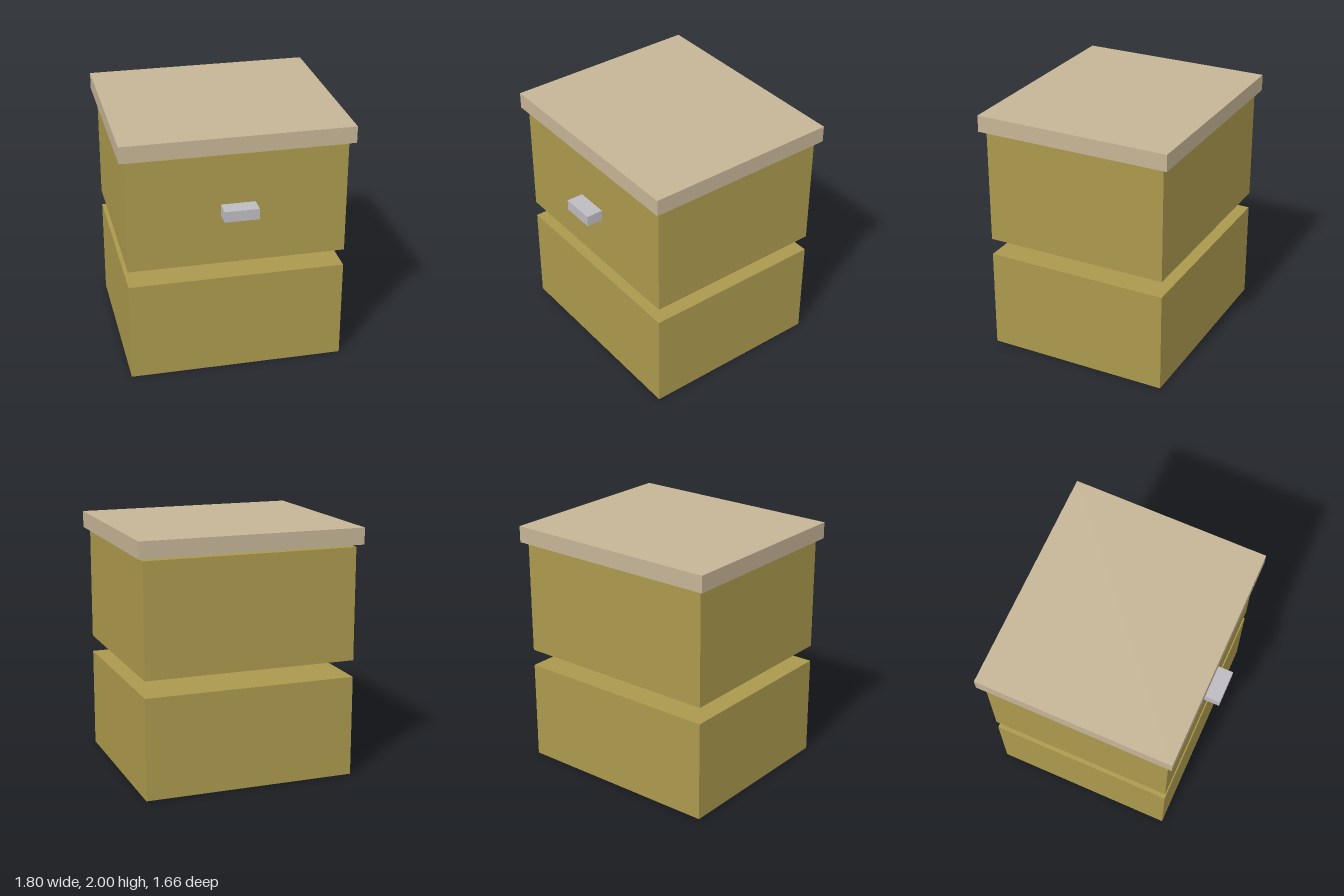
import * as THREE from 'three';

// Box given by its extents along each axis
function block(name, color, [x0, x1], [y0, y1], [z0, z1]) {
  const mesh = new THREE.Mesh(
    new THREE.BoxGeometry(x1 - x0, y1 - y0, z1 - z0),
    new THREE.MeshStandardMaterial({ color })
  );
  mesh.position.set((x0 + x1) / 2, (y0 + y1) / 2, (z0 + z1) / 2);
  mesh.name = name;
  return mesh;
}

export function createModel() {
  const group = new THREE.Group();
  group.name = 'stackedBoxes';
  const bodyX = [-0.855, 0.855], bodyZ = [-0.787, 0.698];
  const wood = 0xab994d;

  group.add(
    // Two stacked bodies with an open gap between them
    block('lowerBox', wood, bodyX, [0, 0.81], bodyZ),
    block('upperBox', wood, bodyX, [0.945, 1.845], bodyZ),
    // Overhanging lid, floating slightly above the upper box
    block('lid', 0xc5b496, [-0.9, 0.9], [1.868, 2], [-0.832, 0.742]),
    // Front handle
    block('handle', 0xbdbbc1, [-0.135, 0.135], [1.355, 1.442], [0.698, 0.832])
  );
  return group;
}
